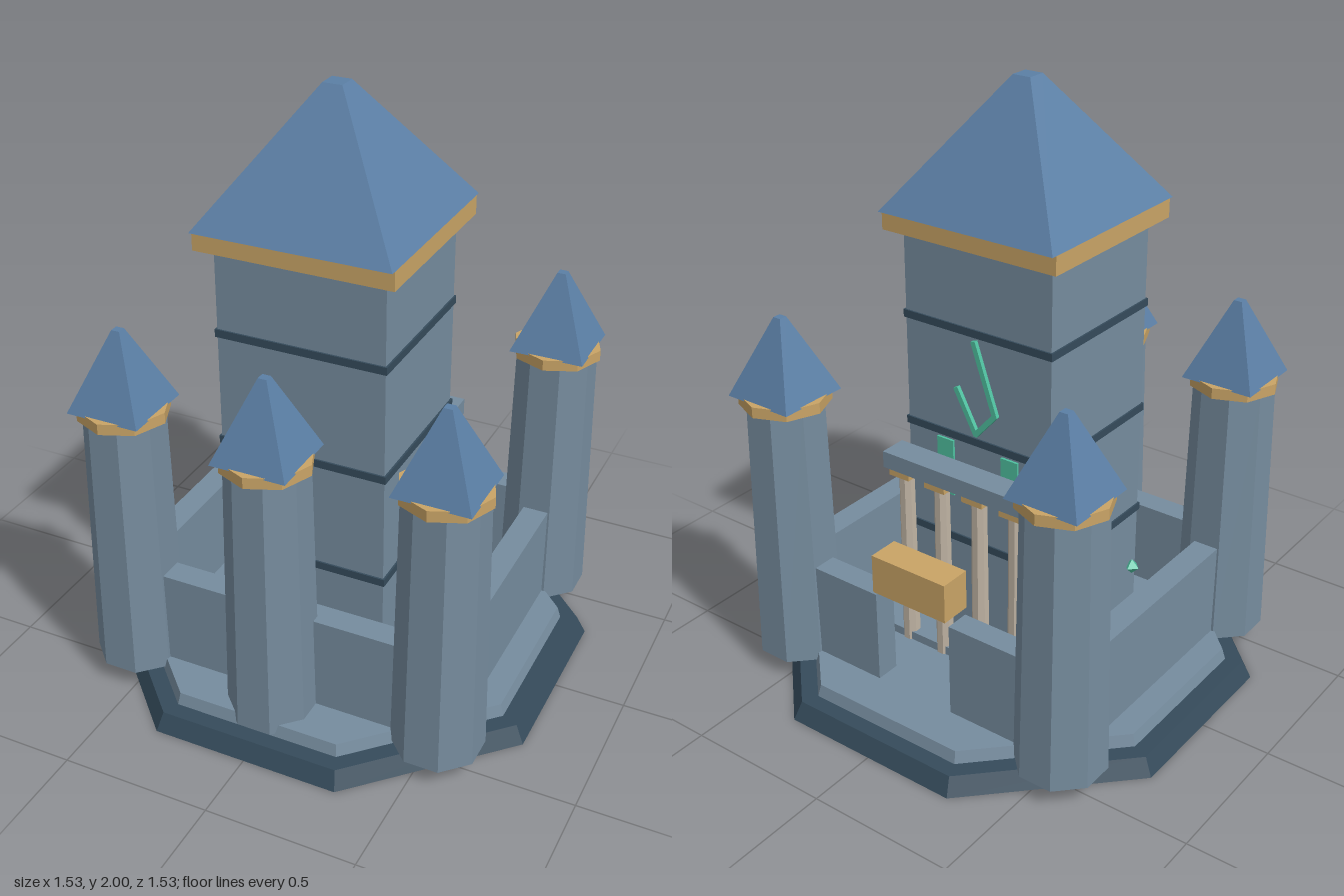
import * as THREE from 'three';

const paint = (name, color) => {
  const m = new THREE.MeshStandardMaterial({ color });
  m.name = name;
  return m;
};

export function createModel() {
  const stone = paint('blue grey stone', 0x768c9e);
  const dark = paint('dark slate', 0x354b5b);
  const roofBlue = paint('roof blue', 0x5b7fa5);
  const gold = paint('gold trim', 0xc9a466);
  const cream = paint('cream column', 0xc0b4a4);
  const jade = paint('jade glow', 0x4fc0a0);

  const model = new THREE.Group();
  model.name = 'castle';

  const add = (name, geo, mat, x, y, z, parent = model) => {
    const m = new THREE.Mesh(geo, mat);
    m.name = name;
    m.position.set(x, y, z);
    parent.add(m);
    return m;
  };
  // box given by its centre in x and z and its bottom and top in y
  const box = (name, mat, w, d, y0, y1, x, z, parent) =>
    add(name, new THREE.BoxGeometry(w, y1 - y0, d), mat, x, (y0 + y1) / 2, z, parent);
  // faceted prism; turn rotates it about y
  const prism = (name, mat, rTop, rBottom, y0, y1, sides, turn, x, z, parent) => {
    const g = new THREE.CylinderGeometry(rTop, rBottom, y1 - y0, sides).rotateY(turn).toNonIndexed();
    g.computeVertexNormals();
    return add(name, g, mat, x, (y0 + y1) / 2, z, parent);
  };
  const EIGHTH = Math.PI / 8;
  const R2 = Math.SQRT2;

  // stepped octagonal base
  prism('foundation', dark, 0.797, 0.828, 0, 0.06, 8, EIGHTH, 0, 0);
  prism('terrace', stone, 0.727, 0.742, 0.05, 0.1, 8, EIGHTH, 0, 0);

  // keep
  const kz = 0.075;
  box('keepPlinth', stone, 0.82, 0.75, 0.09, 0.13, 0, kz);
  box('keepBody', stone, 0.56, 0.52, 0.1, 1.54, 0, kz);
  [0.4925, 0.8725, 1.2475].forEach((y) => box('keepBand', dark, 0.572, 0.532, y - 0.013, y + 0.013, 0, kz));
  box('keepCornice', gold, 0.65, 0.615, 1.53, 1.592, 0, kz);
  prism('keepRoof', roofBlue, 0.032 * R2, 0.325 * R2, 1.592, 2, 4, Math.PI / 4, 0, kz);

  // corner towers and front tower
  const towers = [[0, 0.555]];
  for (const x of [-0.54, 0.54]) for (const z of [-0.483, 0.483]) towers.push([x, z]);
  towers.forEach(([x, z]) => {
    const t = new THREE.Group();
    t.name = 'tower';
    t.position.set(x, 0, z);
    model.add(t);
    prism('towerShaft', stone, 0.133, 0.149, 0.07, 0.985, 8, EIGHTH, 0, 0, t);
    prism('towerCollar', gold, 0.148, 0.148, 0.978, 1.015, 8, 0, 0, 0, t);
    prism('towerRoof', roofBlue, 0.014 * R2, 0.125 * R2, 1.01, 1.27, 4, Math.PI / 4, 0, 0, t);
  });

  // curtain walls, with a gate gap at the back
  box('frontWall', stone, 0.84, 0.085, 0.09, 0.425, 0, 0.486);
  for (const s of [-1, 1]) {
    box('sideWall', stone, 0.087, 0.73, 0.09, 0.425, s * 0.545, 0);
    box('backWall', stone, 0.275, 0.083, 0.09, 0.425, s * 0.285, -0.49);
  }
  box('gateLintel', gold, 0.29, 0.108, 0.445, 0.58, 0, -0.492);

  // portico behind the gate
  for (const x of [-0.22, -0.075, 0.075, 0.22]) {
    prism('porticoColumn', cream, 0.026, 0.03, 0.1, 0.735, 8, EIGHTH, x, -0.278);
    box('columnCapital', gold, 0.08, 0.08, 0.73, 0.757, x, -0.278);
  }
  box('porticoBeam', stone, 0.555, 0.095, 0.755, 0.812, 0, -0.278);

  // glowing windows and gems
  for (const s of [-1, 1]) {
    box('window', jade, 0.065, 0.009, 0.65, 0.85, s * 0.127, -0.189);
    add('gem', new THREE.OctahedronGeometry(0.03), jade, s * 0.23, 0.19, -0.2);
    add('gem', new THREE.OctahedronGeometry(0.028), jade, s * 0.29, 0.27, 0.3);
  }

  // hooked ornament of straight strokes on the back of the keep
  const path = [[0.005, 1.22], [-0.075, 0.99], [0, 0.905], [0.075, 1.045]];
  for (let i = 0; i < 3; i++) {
    const [ax, ay] = path[i], [bx, by] = path[i + 1];
    const bar = add('wallOrnament', new THREE.BoxGeometry(0.018, Math.hypot(bx - ax, by - ay) + 0.01, 0.014),
      jade, (ax + bx) / 2, (ay + by) / 2, -0.192);
    bar.rotation.z = Math.atan2(ax - bx, by - ay);
  }
  return model;
}
